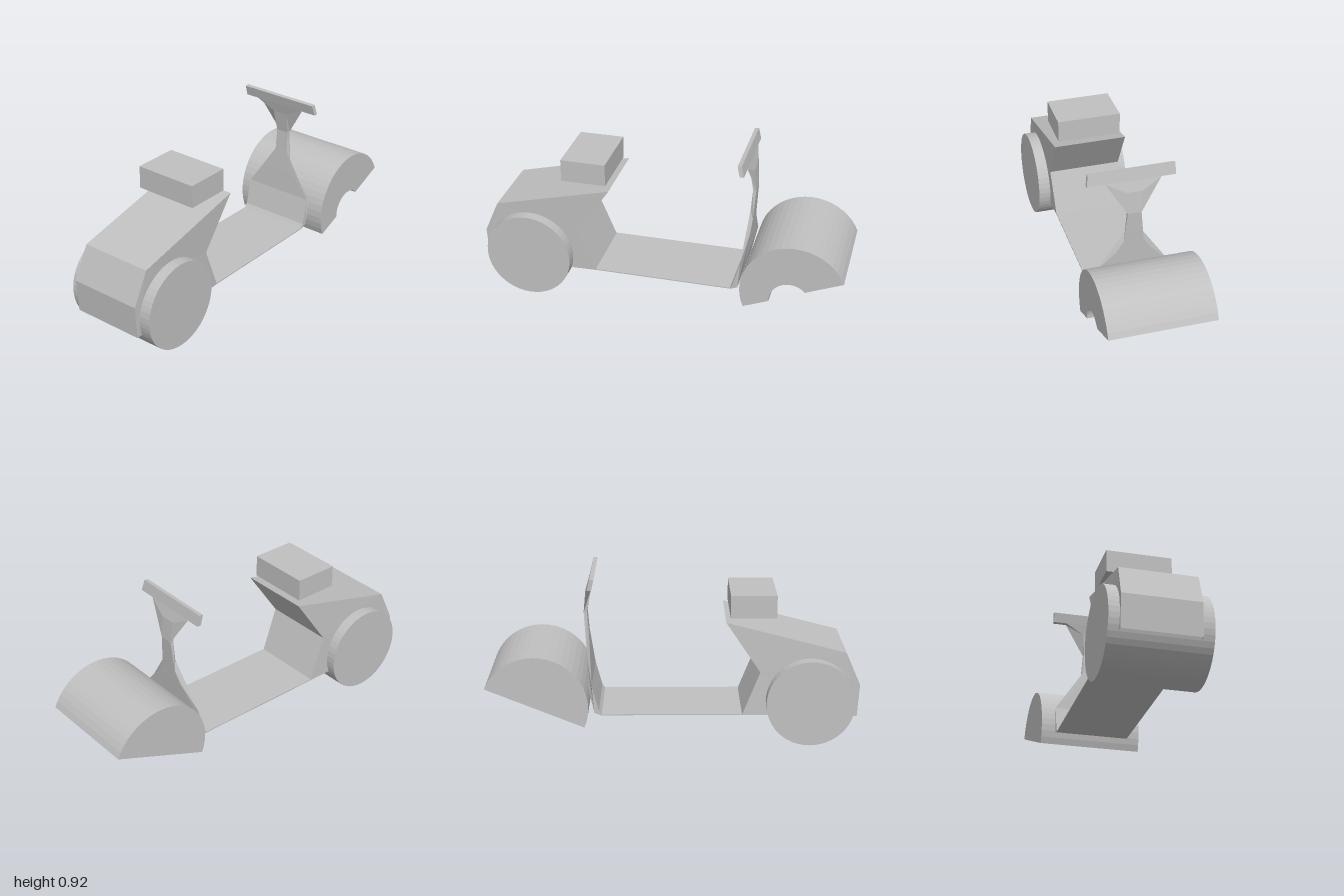
import * as THREE from 'three';

const grey = new THREE.MeshStandardMaterial({ color: 0xc0c0c0, flatShading: true, side: THREE.DoubleSide });
grey.name = 'plain grey';

// Solid between two side faces. Outline points run counter-clockwise as [x, y, zFront, zBack].
// openEdge leaves out the wall that starts at that point.
function slab(name, outline, openEdge = -1) {
  const pos = [];
  const front = (i) => [outline[i][0], outline[i][1], outline[i][2]];
  const back = (i) => [outline[i][0], outline[i][1], outline[i][3]];
  const tri = (a, b, c) => pos.push(...a, ...b, ...c);
  const n = outline.length;
  const flat = outline.map(([x, y]) => new THREE.Vector2(x, y));
  for (const [a, b, c] of THREE.ShapeUtils.triangulateShape(flat, [])) {
    tri(front(a), front(b), front(c));
    tri(back(a), back(c), back(b));
  }
  for (let i = 0; i < n; i++) {
    if (i === openEdge) continue;
    const j = (i + 1) % n;
    tri(front(i), back(i), back(j));
    tri(front(i), back(j), front(j));
  }
  const g = new THREE.BufferGeometry();
  g.setAttribute('position', new THREE.Float32BufferAttribute(pos, 3));
  g.computeVertexNormals();
  return part(name, g);
}

function part(name, geometry) {
  const m = new THREE.Mesh(geometry, grey);
  m.name = name;
  return m;
}

// Points on an arc, with fixed front and back z
function arc(cx, cy, r, fromDeg, toDeg, steps, z0, z1) {
  return Array.from({ length: steps + 1 }, (_, i) => {
    const a = THREE.MathUtils.degToRad(fromDeg + (toDeg - fromDeg) * i / steps);
    return [cx + r * Math.cos(a), cy + r * Math.sin(a), z0, z1];
  });
}

export function createModel() {
  const model = new THREE.Group();
  model.name = 'scooter';

  // Rear body, open underneath around the wheel
  model.add(slab('rearBody', [
    [-0.99, 0.15, 0.2, -0.205],
    [-0.37, 0.16, 0.197, -0.208],
    [-0.465, 0.40, 0.205, -0.2],
    [-0.28, 0.675, 0.217, -0.186],
    [-0.92, 0.51, 0.208, -0.197],
    [-1.0, 0.33, 0.2, -0.205],
  ], 0));

  // Rear wheel drum
  const wheel = part('rearWheel', new THREE.CylinderGeometry(0.238, 0.238, 0.525, 48).rotateX(Math.PI / 2));
  wheel.position.set(-0.735, 0.24, 0.004);
  model.add(wheel);

  // Seat block floating above the body
  const seat = part('seat', new THREE.BoxGeometry(0.245, 0.123, 0.352));
  seat.position.set(-0.427, 0.753, 0.014);
  model.add(seat);

  // Thin footboard, turned up at its front end
  model.add(slab('footboard', [
    [-0.37, 0.16], [0.39, 0.16], [0.428, 0.176],
    [0.40, 0.187], [0.385, 0.166], [-0.37, 0.166],
  ].map(([x, y]) => [x, y, 0.196, -0.209])));

  // Leg shield narrowing into the steering column: [y, xRear, xFront, zFront, zBack]
  const rows = [
    [0.18, 0.398, 0.425, 0.196, -0.209],
    [0.327, 0.436, 0.457, 0.196, -0.209],
    [0.45, 0.444, 0.465, 0.085, -0.1],
    [0.515, 0.449, 0.469, 0.047, -0.06],
    [0.575, 0.454, 0.473, 0.033, -0.045],
    [0.69, 0.462, 0.48, 0.03, -0.043],
    [0.81, 0.441, 0.468, 0.033, -0.053],
    [0.866, 0.426, 0.449, 0.14, -0.155],
  ];
  model.add(slab('steeringColumn', [
    ...rows.map(([y, , x, a, b]) => [x, y, a, b]),
    ...rows.map(([y, x, , a, b]) => [x, y, a, b]).reverse(),
  ]));

  // Handlebar
  model.add(slab('handlebar', [
    [0.426, 0.866, 0.235, -0.231],
    [0.449, 0.866, 0.235, -0.231],
    [0.435, 0.925, 0.226, -0.232],
    [0.413, 0.922, 0.226, -0.232],
  ]));

  // Front mudguard: half drum with a wheel groove that stops short of the back
  const dome = (z0, z1) => arc(0.737, 0.23, 0.285, 22.7, 202.7, 24, z0, z1);
  model.add(slab('mudguard', [
    ...dome(0.284, -0.235),
    ...arc(0.72, 0.185, 0.109, 185, 42, 14, 0.284, -0.235),
  ]));
  model.add(slab('mudguardEnd', dome(-0.235, -0.283)));

  return model;
}
